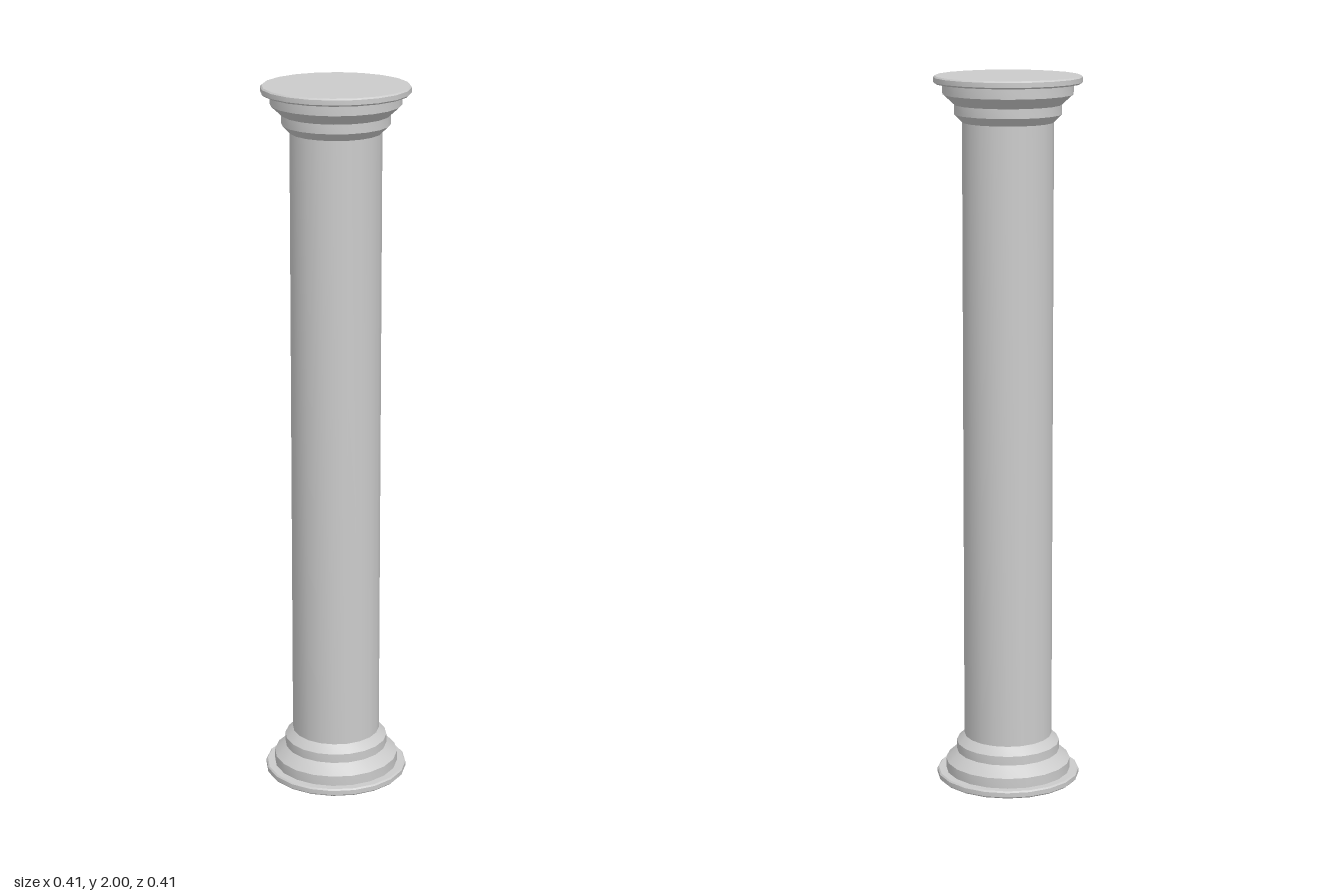
import * as THREE from 'three';
import { toCreasedNormals } from 'three/addons/utils/BufferGeometryUtils.js';

const SIDES = 20;
const HEIGHT = 2;
const SHAFT_RADIUS = 0.125;

// Stepped moulding as [radius, height], from the ground up to the shaft
const MOULDING = [
  [0, 0], [0.199, 0], [0.203, 0.004], [0.203, 0.017], [0.199, 0.021],
  [0.178, 0.021], [0.178, 0.05],
  [0.147, 0.078], [0.147, 0.104],
  [SHAFT_RADIUS, 0.126],
];

export function createModel() {
  const model = new THREE.Group();
  model.name = 'column';
  const material = new THREE.MeshStandardMaterial({ color: 0xcccccc });

  // Turned part: smooth around the axis, sharp at profile corners
  function addTurned(name, profile) {
    const points = profile.map(([r, y]) => new THREE.Vector2(r, y));
    const geometry = toCreasedNormals(new THREE.LatheGeometry(points, SIDES), 0.5);
    const mesh = new THREE.Mesh(geometry, material);
    mesh.name = name;
    model.add(mesh);
  }

  const top = MOULDING[MOULDING.length - 1][1];
  addTurned('base', MOULDING);
  addTurned('shaft', [[SHAFT_RADIUS, top], [SHAFT_RADIUS, HEIGHT - top]]);
  // The capital is the base moulding turned upside down
  addTurned('capital', MOULDING.map(([r, y]) => [r, HEIGHT - y]).reverse());

  return model;
}
